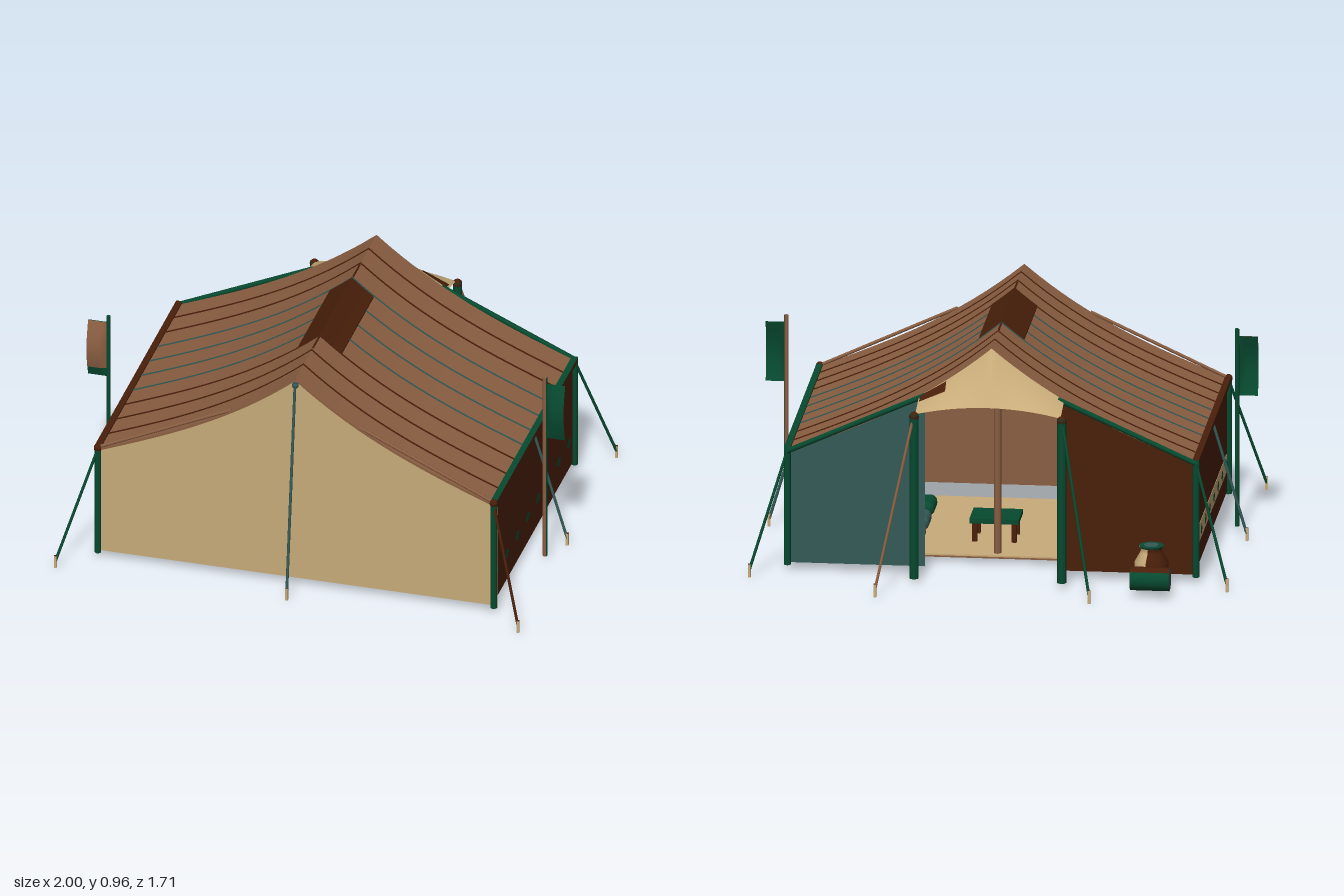
import * as THREE from 'three';
import { toCreasedNormals } from 'three/addons/utils/BufferGeometryUtils.js';
import { RoundedBoxGeometry } from 'three/addons/geometries/RoundedBoxGeometry.js';

const mat = (name, color) => {
  const m = new THREE.MeshStandardMaterial({ color, side: THREE.DoubleSide });
  m.name = name;
  return m;
};
const V = (x, y, z) => new THREE.Vector3(x, y, z);
const rad = THREE.MathUtils.degToRad;

// Sagging roof height across the tent
const roofY = (x) => {
  const s = 1 - Math.min(1, Math.abs(x) / 0.83);
  return 0.5 + 0.455 * (0.73 * s + 0.27 * s ** 3);
};
const FRONT = 0.72, BACK = -0.49, EAVE = 0.83;

export function createModel() {
  const group = new THREE.Group();
  const beige = mat('beigeCanvas', 0xc8ab79), brown = mat('brownCanvas', 0x8b5f42);
  const dark = mat('darkBrown', 0x491f0a), green = mat('green', 0x074a30), slate = mat('slateGreen', 0x345a56);

  const add = (name, geo, material, x = 0, y = 0, z = 0) => {
    const m = new THREE.Mesh(geo, material);
    m.name = name;
    m.position.set(x, y, z);
    group.add(m);
    return m;
  };
  const box = (name, m, w, h, d, x, y, z) => add(name, new THREE.BoxGeometry(w, h, d), m, x, y, z);
  // Straight round bar between two points
  const bar = (name, m, a, b, r) => {
    const mesh = add(name, new THREE.CylinderGeometry(r, r, a.distanceTo(b), 8), m);
    mesh.position.copy(a).lerp(b, 0.5);
    mesh.quaternion.setFromUnitVectors(V(0, 1, 0), b.clone().sub(a).normalize());
  };
  // Painted face on part of an upright pole
  const paint = (name, m, r, x, y0, y1, z, from, to) =>
    add(name, new THREE.CylinderGeometry(r, r, y1 - y0, 8, 1, true, rad(from), rad(to - from)), m, x, (y0 + y1) / 2, z);
  // Cloth surface from a rule over the unit square
  const cloth = (name, m, nu, nv, rule) => {
    const geo = new THREE.PlaneGeometry(1, 1, nu, nv);
    const p = geo.attributes.position;
    for (let i = 0; i < p.count; i++) {
      const q = rule(p.getX(i) + 0.5, p.getY(i) + 0.5);
      p.setXYZ(i, q.x, q.y, q.z);
    }
    geo.computeVertexNormals();
    return add(name, geo, m);
  };
  // Strip that follows the roof, lifted off it, from -x1 to x1
  const roofStrip = (name, m, x1, z0, z1, lift, thick) => {
    const s = new THREE.Shape(), n = 32, xs = [];
    for (let i = 0; i <= n; i++) xs.push(x1 * ((2 * i) / n - 1));
    xs.forEach((x, i) => (i ? s.lineTo(x, roofY(x) + lift) : s.moveTo(x, roofY(x) + lift)));
    xs.reverse().forEach((x) => s.lineTo(x, roofY(x) + lift - thick));
    const geo = new THREE.ExtrudeGeometry(s, { depth: z1 - z0, bevelEnabled: false });
    add(name, toCreasedNormals(geo, 0.45), m, 0, 0, z0);
  };
  // Gable piece between x0 and x1, topped by the roof line
  const gable = (name, m, x0, x1, z) => {
    const s = new THREE.Shape();
    s.moveTo(x0, 0.03);
    s.lineTo(x1, 0.03);
    for (let i = 0; i <= 24; i++) {
      const x = x1 + ((x0 - x1) * i) / 24;
      s.lineTo(x, roofY(x) - 0.008);
    }
    add(name, new THREE.ShapeGeometry(s), m, 0, 0, z);
  };

  // Roof, seams and ridge patch
  roofStrip('roof', brown, EAVE, BACK, FRONT, 0.003, 0.01);
  for (let i = 0; i < 9; i++) {
    const z = -0.372 + i * 0.1215;
    roofStrip('roofSeam', i > 1 && i < 6 ? slate : dark, EAVE, z - 0.003, z + 0.003, 0.007, 0.007);
  }
  roofStrip('ridgePatch', dark, 0.092, -0.12, 0.36, 0.009, 0.009);
  bar('ridgeCord', dark, V(0, 0.957, -0.24), V(0, 0.957, 0.46), 0.004);

  // Front and back walls, the back leaving a doorway
  gable('frontWall', beige, -0.82, 0.82, FRONT - 0.004);
  gable('frontWallLining', brown, -0.82, 0.82, FRONT - 0.009);
  gable('backPanelLeft', slate, 0.27, 0.82, BACK);
  gable('backPanelRight', dark, -0.82, -0.27, BACK);
  for (const s of [-1, 1]) {
    bar('backBeam', green, V(s * EAVE, 0.5, -0.5), V(s * 0.27, roofY(0.27) - 0.01, -0.5), 0.011);
    bar('frontEdge', brown, V(s * EAVE, 0.507, FRONT - 0.008), V(s * 0.27, roofY(0.27) + 0.005, FRONT - 0.008), 0.007);
  }

  // Side walls with painted diamonds
  const diamond = new THREE.Shape();
  diamond.moveTo(0.033, 0);
  diamond.lineTo(0, 0.024);
  diamond.lineTo(-0.033, 0);
  diamond.lineTo(0, -0.024);
  for (const s of [-1, 1]) {
    box('sideWall', dark, 0.008, 0.47, 1.2, s * 0.82, 0.265, 0.115);
    for (let i = 0; i < 8; i++) {
      const d = add('diamond', new THREE.ShapeGeometry(diamond), green, s * 0.828, 0.155, 0.66 - i * 0.154);
      d.rotation.y = (s * Math.PI) / 2;
    }
    const top = s > 0 ? green : dark;
    box('eaveBeam', [dark, dark, top, green, green, green], 0.026, 0.02, 1.22, s * EAVE, 0.505, 0.11);
    bar('eaveCord', slate, V(s * EAVE, 0.488, -0.5), V(s * EAVE, 0.488, FRONT), 0.008);
  }
  box('sideBand', beige, 0.004, 0.075, 1.15, -0.8235, 0.155, 0.115);

  // Corner poles and guy ropes with pegs
  const guy = (m, a, b) => {
    bar('guyRope', m, a, b, 0.006);
    box('peg', [beige, beige, dark, dark, beige, beige], 0.011, 0.055, 0.011, b.x, 0.0275, b.z);
  };
  const cap = (name, m, r, x, y, z) => add(name, new THREE.SphereGeometry(r, 10, 8), m, x, y, z);
  for (const s of [-1, 1]) {
    for (const [z, out] of [[0.715, 0.85], [-0.49, -0.62]]) {
      bar('cornerPole', green, V(s * EAVE, 0.02, z), V(s * EAVE, 0.5, z), 0.014);
      guy(z > 0 && s > 0 ? dark : green, V(s * EAVE, 0.5, z), V(s * 0.97, 0.03, out));
    }
    cap('frontPoleCap', dark, 0.017, s * EAVE, 0.505, 0.715);
    guy(slate, V(s * EAVE, 0.5, 0.115), V(s * 0.97, 0.03, 0.115));
    bar('canopyPole', green, V(s * 0.3, 0.02, -0.63), V(s * 0.3, 0.71, -0.63), 0.019);
    cap('canopyPoleCap', dark, 0.02, s * 0.3, 0.7, -0.63);
    guy(s > 0 ? brown : green, V(s * 0.3, 0.71, -0.63), V(s * 0.435, 0.03, -0.85));
  }
  paint('cornerPoleFace', beige, 0.0155, EAVE, 0.02, 0.485, 0.715, 75, 200);
  guy(slate, V(0, 0.945, 0.725), V(0, 0.03, 0.85));
  cap('ridgeKnob', slate, 0.014, 0, 0.93, 0.722);
  bar('ridgePole', dark, V(0, 0.93, BACK), V(0, 0.93, FRONT - 0.01), 0.01);
  bar('innerPole', brown, V(0, 0.02, -0.27), V(0, 0.93, -0.27), 0.015);

  // Door canopy with a dark patch on its left slope
  const canopy = (u, v, lift) => {
    const k = u * 2 - 1, x = k * 0.295;
    const outer = 0.71 + 0.035 * (1 - k * k);
    return V(x, roofY(x) + (outer - roofY(x)) * v + lift, BACK - 0.14 * v);
  };
  cloth('canopy', beige, 20, 8, (u, v) => canopy(u, v, 0));
  cloth('canopyPatch', dark, 5, 4, (u, v) => canopy(0.81 + 0.18 * u, 0.08 + 0.34 * v, 0.005));

  // Side flags on poles
  for (const s of [-1, 1]) {
    bar('flagPole', s > 0 ? brown : green, V(s * 0.915, 0.02, 0.255), V(s * 0.915, 0.85, 0.255), 0.009);
    const wave = (y0, y1) => (u, v) => {
      const y = y0 + (y1 - y0) * v;
      return V(s * (0.915 + 0.085 * u), y, 0.256 + 0.026 * Math.min(1, u * 3) * Math.sin((Math.PI * (y - 0.57)) / 0.25));
    };
    cloth('flag', s > 0 ? green : brown, 6, 8, wave(0.61, 0.82));
    cloth('flagHem', green, 6, 3, wave(0.57, 0.61));
    cloth('flagRear', green, 6, 8, wave(0.61, 0.82)).position.z = -0.004;
  }
  paint('flagPoleFace', green, 0.0105, 0.915, 0.02, 0.85, 0.255, 50, 140);

  // Floor mat with a green border on its left edge
  box('mat', beige, 1.19, 0.006, 0.83, 0, 0.028, 0.105);
  box('matUnderside', brown, 1.19, 0.006, 0.83, 0, 0.021, 0.105);
  box('matEdge', green, 0.006, 0.012, 0.84, 0.598, 0.025, 0.105);

  // Cushions and low table
  [[-0.18, brown], [0.02, slate], [0.23, green]].forEach(([z, m]) => {
    add('cushion', new RoundedBoxGeometry(0.17, 0.06, 0.15, 3, 0.028), m, 0.39, 0.075, z);
  });
  box('tableTop', green, 0.2, 0.02, 0.16, 0.03, 0.12, -0.05);
  for (const x of [-1, 1]) for (const z of [-1, 1]) box('tableLeg', dark, 0.02, 0.08, 0.02, 0.03 + x * 0.08, 0.071, -0.05 + z * 0.06);

  // Stored bundles in the far corner
  [[-0.38, 0.56, dark], [-0.64, 0.52, dark], [-0.67, 0.2, green]].forEach(([x, z, m]) => {
    add('bundle', new THREE.SphereGeometry(1, 16, 10), m, x, 0.09, z).scale.set(0.1, 0.07, 0.1);
  });

  // Jar with painted faces, and rolled bedding outside
  const jar = [[0, 0.03], [0.05, 0.03], [0.068, 0.07], [0.068, 0.11], [0.045, 0.15], [0.04, 0.17], [0.05, 0.175]];
  const profile = jar.map(([r, y]) => new THREE.Vector2(r, y));
  [[-45, 35, green], [35, 165, beige], [165, 315, dark]].forEach(([from, to, m]) => {
    add('jarSide', new THREE.LatheGeometry(profile, 8, rad(from), rad(to - from)), m, -0.66, 0, -0.59);
  });
  add('jarRim', new THREE.CylinderGeometry(0.05, 0.046, 0.008, 20), green, -0.66, 0.174, -0.59);
  add('jarLid', new THREE.CylinderGeometry(0.03, 0.03, 0.008, 16), slate, -0.66, 0.177, -0.59);
  const roll = new THREE.CylinderGeometry(0.047, 0.047, 0.16, 20);
  add('beddingRoll', roll, [dark, slate, slate], -0.67, 0.077, -0.725).rotation.z = Math.PI / 2;
  const wrap = new THREE.CylinderGeometry(0.049, 0.049, 0.158, 16, 1, true, rad(135), Math.PI);
  add('beddingWrap', wrap, green, -0.67, 0.077, -0.725).rotation.z = Math.PI / 2;

  return group;
}
